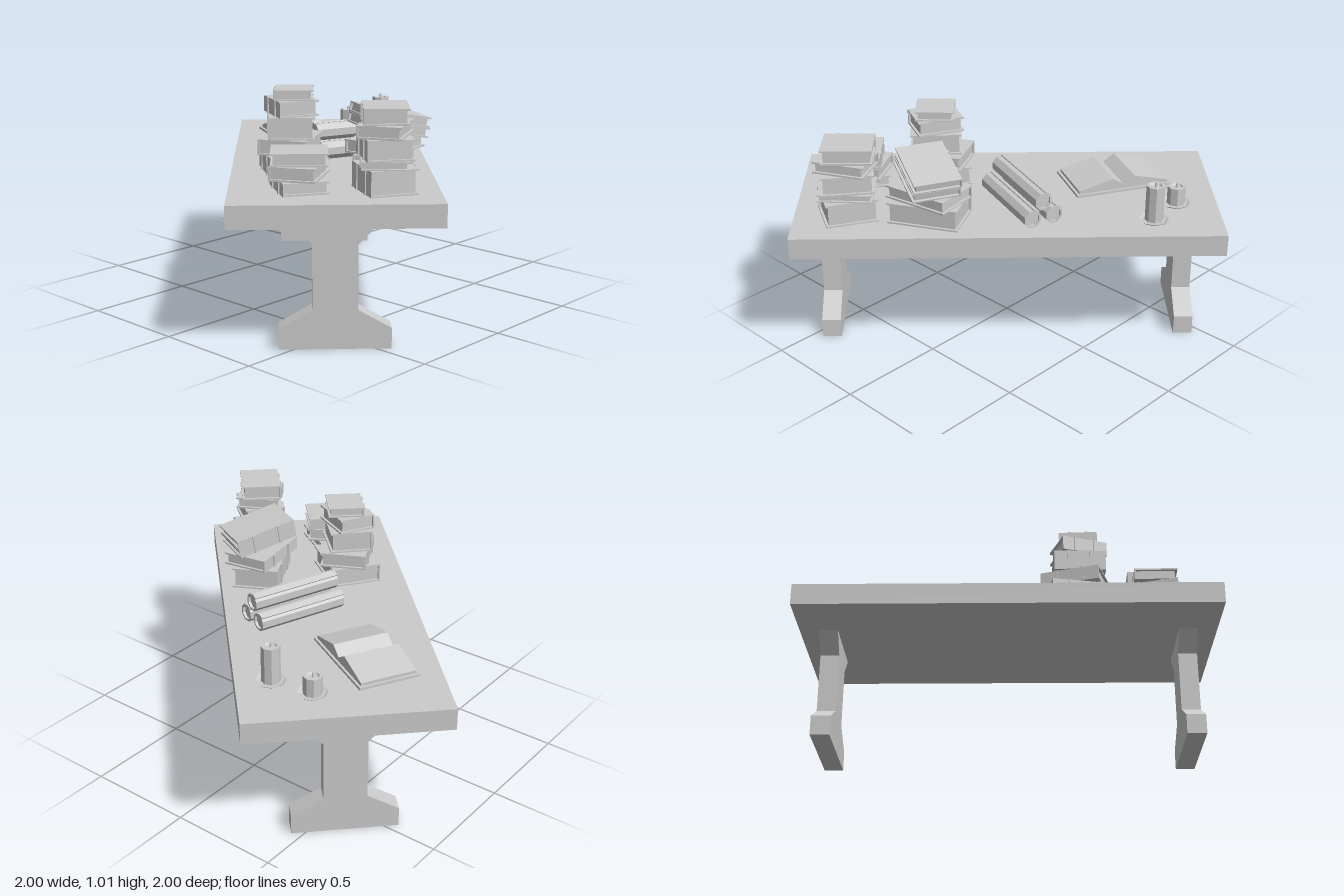
import * as THREE from 'three';

const material = new THREE.MeshStandardMaterial({ color: 0xcccccc, flatShading: true, side: THREE.DoubleSide });
const TOP = 0.64; // height of the table surface

function add(parent, name, geometry, x = 0, y = 0, z = 0) {
  const mesh = new THREE.Mesh(geometry, material);
  mesh.name = name;
  mesh.position.set(x, y, z);
  parent.add(mesh);
  return mesh;
}

const box = (w, h, d) => new THREE.BoxGeometry(w, h, d);

// Extrudes a 2D outline symmetrically about z = 0
function slab(points, depth) {
  const shape = new THREE.Shape(points.map(([x, y]) => new THREE.Vector2(x, y)));
  return new THREE.ExtrudeGeometry(shape, { depth, bevelEnabled: false }).translate(0, 0, -depth / 2);
}

const lathe = (points, sides) =>
  new THREE.LatheGeometry(points.map(([r, y]) => new THREE.Vector2(r, y)), sides);

// Closed book with its base at y = 0 and its spine towards -x
function closedBook(w, h, d) {
  const book = new THREE.Group();
  book.name = 'closedBook';
  const t = Math.min(0.008, h * 0.15);
  add(book, 'lowerCover', box(w, t, d), 0, t / 2);
  add(book, 'upperCover', box(w, t, d), 0, h - t / 2);
  add(book, 'spine', box(t, h - 2 * t, d), -w / 2 + t / 2, h / 2);
  add(book, 'pages', box(w - t - 0.012, h - 2 * t, d - 0.024), t / 2 - 0.006, h / 2);
  for (const s of [-1, 1]) add(book, 'spineBand', box(0.006, h, 0.014), -w / 2 - 0.003, h / 2, s * d * 0.22);
  return book;
}

// Piles books of [width, height, length, turn, dx, dz]; returns the group
function bookStack(x, z, books) {
  const stack = new THREE.Group();
  stack.name = 'bookStack';
  stack.position.set(x, TOP, z);
  let y = 0;
  for (const [w, h, d, turn, dx = 0, dz = 0] of books) {
    const book = closedBook(w, h, d);
    book.position.set(dx, y, dz);
    book.rotation.y = turn;
    stack.add(book);
    y += h;
  }
  return stack;
}

function openBook() {
  const book = new THREE.Group();
  book.name = 'openBook';
  add(book, 'cover', box(0.47, 0.012, 0.285), 0, 0.006);
  // Page blocks rise towards the middle and dip into the gutter
  const half = [[0.222, 0.012], [0.222, 0.026], [0.055, 0.068]];
  const mirrored = half.map(([x, y]) => [-x, y]).reverse();
  add(book, 'pages', slab([...half, [0, 0.032], ...mirrored], 0.262));
  book.position.set(0.265, TOP, -0.46);
  book.rotation.y = 1.08;
  return book;
}

function scrollPile() {
  const pile = new THREE.Group();
  pile.name = 'scrollPile';
  const r = 0.043, L = 0.44, e = L / 2;
  // Rolled sheet with slightly recessed ends
  const profile = [[0, -e + 0.012], [r * 0.78, -e + 0.012], [r * 0.78, -e], [r, -e],
    [r, e], [r * 0.78, e], [r * 0.78, e - 0.012], [0, e - 0.012]];
  for (const [y, z] of [[0.04, -0.054], [0.04, 0.054], [0.117, 0]]) {
    const scroll = add(pile, 'scroll', lathe(profile, 8).rotateY(Math.PI / 8).rotateZ(-Math.PI / 2), 0, y, z);
    // Loose edge of the sheet
    const flap = add(scroll, 'scrollEdge', box(L, 0.006, 0.03), 0, r * 0.86, -r * 0.45);
    flap.rotation.x = -0.45;
  }
  pile.position.set(0.137, TOP, 0.047);
  pile.rotation.y = -0.34;
  return pile;
}

function candle(x, z, height) {
  const group = new THREE.Group();
  group.name = 'candle';
  add(group, 'dish', lathe([[0, 0], [0.058, 0], [0.074, 0.011], [0.068, 0.011], [0.054, 0.005], [0, 0.005]], 8));
  add(group, 'wax', lathe([[0.042, 0.004], [0.042, height], [0.03, height], [0.024, height - 0.008], [0, height - 0.008]], 8));
  add(group, 'wick', new THREE.CylinderGeometry(0.005, 0.005, 0.025, 5), 0, height + 0.002);
  group.position.set(x, TOP, z);
  return group;
}

export function createModel() {
  const model = new THREE.Group();
  model.name = 'studyTable';

  // Table, set diagonally
  const table = new THREE.Group();
  table.name = 'table';
  table.rotation.y = Math.PI / 4;
  model.add(table);
  add(table, 'tabletop', box(1.937, 0.1, 0.891), 0, 0.59);
  const side = [[0.235, 0], [0.235, 0.09], [0.095, 0.17], [0.095, 0.45], [0.18, 0.54]];
  const outline = [...side, ...side.map(([x, y]) => [-x, y]).reverse()];
  for (const s of [-1, 1]) add(table, 'trestleLeg', slab(outline, 0.088).rotateY(Math.PI / 2), s * 0.834);

  // Stacks of closed books
  model.add(bookStack(-0.36, 0.11, [
    [0.24, 0.09, 0.30, -0.6], [0.22, 0.07, 0.28, -1.1, 0.01, -0.01], [0.2, 0.1, 0.24, -0.75],
    [0.18, 0.07, 0.22, -0.45], [0.17, 0.045, 0.18, -0.82, 0.01, 0.01],
  ]));
  model.add(bookStack(-0.59, 0.385, [
    [0.2, 0.055, 0.25, -0.55], [0.2, 0.06, 0.25, -1.05], [0.2, 0.055, 0.24, -0.8 - Math.PI / 2],
  ]));
  model.add(bookStack(-0.36, 0.66, [
    [0.21, 0.11, 0.24, -0.5], [0.2, 0.035, 0.25, -0.85], [0.2, 0.09, 0.24, -0.65],
    [0.19, 0.055, 0.24, -1.1], [0.19, 0.07, 0.23, -0.8, 0.01, -0.01],
  ]));
  const leaning = bookStack(-0.08, 0.42, [[0.22, 0.1, 0.33, -1.08], [0.22, 0.06, 0.32, -1.4]]);
  model.add(leaning);
  // Two books resting at a slant on the last stack
  for (const i of [0, 1]) {
    const book = closedBook(0.22, 0.045, 0.3);
    book.rotation.set(-0.2, -2.02, 0, 'YXZ');
    book.position.set(i * 0.01, 0.19 + i * 0.045, 0.01);
    leaning.add(book);
  }

  model.add(openBook(), scrollPile(), candle(0.64, -0.46, 0.09), candle(0.67, -0.26, 0.175));
  return model;
}
